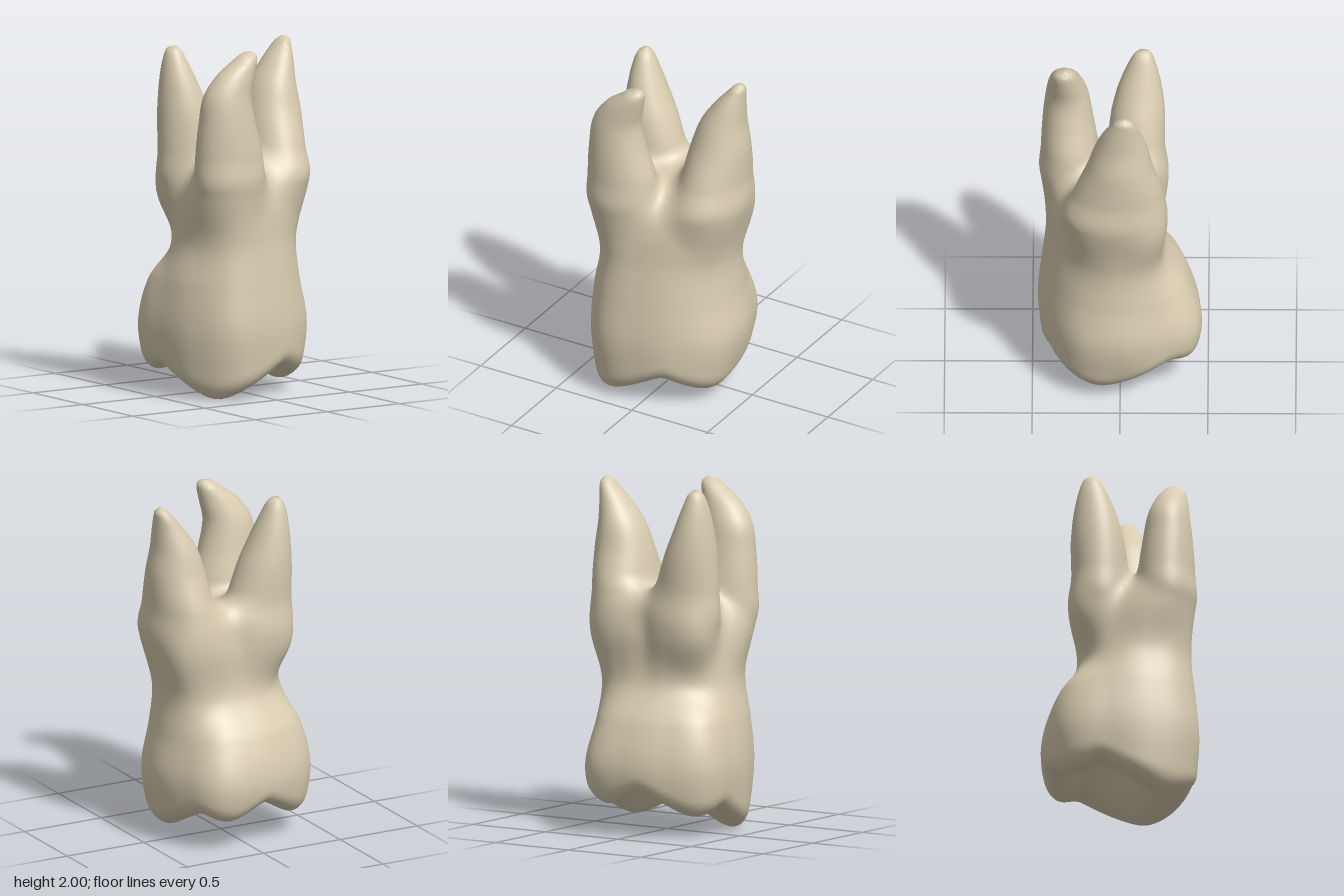
import * as THREE from 'three';

// Crown and trunk: height, then radii every 30 degrees from +x towards +z
const BODY = [
  [0.0, .33, .37, .40, .42, .46, .43, .40, .43, .38, .36, .41, .36],
  [0.15, .39, .42, .425, .435, .49, .46, .435, .475, .425, .405, .455, .41],
  [0.4, .44, .452, .437, .45, .515, .48, .465, .51, .46, .455, .50, .442],
  [0.65, .405, .41, .41, .43, .49, .46, .435, .45, .395, .385, .415, .40],
  [0.87, .39, .39, .385, .405, .465, .42, .37, .31, .267, .25, .29, .372],
  [1.15, .43, .43, .37, .38, .475, .44, .34, .395, .30, .24, .295, .435],
  [1.36, .38, .34, .27, .28, .37, .33, .24, .31, .25, .22, .25, .37],
];

// Roots: height, centre x, centre z, radius x, radius z
const ROOTS = {
  frontRoot: [
    [0.85, -.16, .2, .07, .07], [1.2, -.185, .285, .205, .168], [1.4, -.19, .29, .205, .163],
    [1.6, -.21, .3, .17, .142], [1.75, -.21, .305, .145, .12], [1.87, -.158, .315, .115, .093],
    [1.95, -.098, .32, .07, .066], [1.98, -.08, .32, .047, .043], [1.997, -.072, .32, .01, .01],
  ],
  backRoot: [
    [0.85, -.14, -.03, .07, .07], [1.2, -.19, -.09, .195, .17], [1.4, -.2, -.09, .19, .163],
    [1.6, -.23, -.1, .155, .153], [1.75, -.257, -.11, .115, .126], [1.87, -.275, -.12, .08, .09],
    [1.95, -.283, -.127, .051, .057], [1.978, -.285, -.13, .031, .036], [1.992, -.285, -.13, .008, .008],
  ],
  sideRoot: [
    [0.85, .14, .01, .1, .1], [1.2, .24, .04, .216, .285], [1.4, .272, .012, .187, .255],
    [1.6, .295, .002, .165, .188], [1.75, .312, -.005, .128, .147], [1.87, .352, -.01, .085, .103],
    [1.95, .386, -.02, .05, .068], [1.985, .4, -.02, .032, .044], [2.002, .402, -.02, .008, .008],
  ],
};

// Chewing surface: cusp x, height, z
const CUSPS = [[-.265, 0, .28], [.265, .05, .1], [-.33, .12, -.2], [.15, .175, -.36]];

// Smooth interpolation of one column between table rows
function sample(rows, y, col) {
  const n = rows.length;
  if (y <= rows[0][0]) return rows[0][col];
  if (y >= rows[n - 1][0]) return rows[n - 1][col];
  let i = 0;
  while (y > rows[i + 1][0]) i++;
  const slope = (k) => {
    const a = rows[Math.max(k - 1, 0)], b = rows[Math.min(k + 1, n - 1)];
    return (b[col] - a[col]) / (b[0] - a[0]);
  };
  const h = rows[i + 1][0] - rows[i][0], t = (y - rows[i][0]) / h, t2 = t * t, t3 = t2 * t;
  return (2 * t3 - 3 * t2 + 1) * rows[i][col] + (t3 - 2 * t2 + t) * h * slope(i)
    + (3 * t2 - 2 * t3) * rows[i + 1][col] + (t3 - t2) * h * slope(i + 1);
}

const smoothMin = (a, b, k) => {
  const h = Math.max(k - Math.abs(a - b), 0) / k;
  return Math.min(a, b) - h * h * k / 4;
};
const smoothMax = (a, b, k) => -smoothMin(-a, -b, k);

function chewingHeight(x, z) {
  let h = 0.4;
  for (const [cx, cy, cz] of CUSPS) {
    h = smoothMin(h, cy + 0.58 * (Math.hypot(x - cx, z - cz, 0.08) - 0.08), 0.04);
  }
  // central hollow
  return h + 0.18 * Math.exp(-((x + .02) ** 2 + (z + .04) ** 2) / 0.035);
}

function bodyField(x, y, z) {
  const turn = ((Math.atan2(z, x) / (2 * Math.PI) + 1) % 1) * 12;
  const i = Math.floor(turn), t = turn - i;
  const [a, b, c, d] = [11, 0, 1, 2].map((o) => sample(BODY, y, 1 + (i + o) % 12));
  const r = b + 0.5 * t * (c - a + t * (2 * a - 5 * b + 4 * c - d + t * (3 * (b - c) + d - a)));
  const side = Math.hypot(x, z) - r;
  const top = y - 1.38 + 0.15 * z;
  return smoothMax(smoothMax(side, chewingHeight(x, z) - y, 0.08), top, 0.16);
}

function rootField(rows, x, y, z) {
  const [cx, cz, rx, rz] = [1, 2, 3, 4].map((c) => sample(rows, y, c));
  const f = (Math.hypot((x - cx) / rx, (z - cz) / rz) - 1) * Math.min(rx, rz);
  return Math.max(f, rows[0][0] - y, y - rows[rows.length - 1][0]);
}

function toothField(x, y, z) {
  let f = bodyField(x, y, z);
  if (y > 0.75) for (const rows of Object.values(ROOTS)) f = smoothMin(f, rootField(rows, x, y, z), 0.075);
  return f;
}

function gradient(x, y, z, e = 0.008) {
  return new THREE.Vector3(
    toothField(x + e, y, z) - toothField(x - e, y, z),
    toothField(x, y + e, z) - toothField(x, y - e, z),
    toothField(x, y, z + e) - toothField(x, y, z - e),
  ).divideScalar(2 * e);
}

// Skin the blended field: one vertex per crossed cell, one quad per crossed grid edge
function skin() {
  const step = 0.025, size = [44, 86, 44], origin = [-.5375, -.055, -.5375];
  const id = (i, j, k) => (i * size[1] + j) * size[2] + k;
  const at = (p) => p.map((v, a) => origin[a] + v * step);
  const values = new Float32Array(size[0] * size[1] * size[2]).fill(1);
  const each = (start, fn) => {
    for (let i = start; i < size[0] - 1; i++)
      for (let j = start; j < size[1] - 1; j++)
        for (let k = start; k < size[2] - 1; k++) fn([i, j, k]);
  };
  each(0, (p) => { values[id(...p)] = toothField(...at(p)); });

  const cellVertex = new Map(), positions = [], normals = [], quads = [];
  each(0, (p) => {
    const v = new THREE.Vector3();
    let count = 0;
    for (let a = 0; a < 3; a++) {
      for (let m = 0; m < 4; m++) {
        const s = p.slice();
        s[(a + 1) % 3] += m & 1;
        s[(a + 2) % 3] += m >> 1;
        const e = s.slice();
        e[a]++;
        const f0 = values[id(...s)], f1 = values[id(...e)];
        if ((f0 < 0) === (f1 < 0)) continue;
        s[a] += f0 / (f0 - f1);
        v.add(new THREE.Vector3(...at(s)));
        count++;
      }
    }
    if (!count) return;
    v.divideScalar(count);
    const g = gradient(v.x, v.y, v.z);
    const move = toothField(v.x, v.y, v.z) / Math.max(g.lengthSq(), 0.3);
    v.addScaledVector(g, -THREE.MathUtils.clamp(move, -.008, .008));
    cellVertex.set(id(...p), positions.length / 3);
    positions.push(v.x, v.y, v.z);
    normals.push(...gradient(v.x, v.y, v.z, 0.014).normalize().toArray());
  });
  each(1, (p) => {
    for (let a = 0; a < 3; a++) {
      const e = p.slice();
      e[a]++;
      const inside = values[id(...p)] < 0;
      if (inside === values[id(...e)] < 0) continue;
      const quad = [[-1, -1], [0, -1], [0, 0], [-1, 0]].map(([b, c]) => {
        const q = p.slice();
        q[(a + 1) % 3] += b;
        q[(a + 2) % 3] += c;
        return cellVertex.get(id(...q));
      });
      quads.push(inside ? quad : quad.reverse());
    }
  });
  return { positions, normals, quads };
}

export function createModel() {
  const group = new THREE.Group();
  group.name = 'tooth';
  const enamel = new THREE.MeshStandardMaterial({ color: 0xd8ccb0 });
  enamel.name = 'ivory';

  const { positions, normals, quads } = skin();
  const position = new THREE.Float32BufferAttribute(positions, 3);
  const normal = new THREE.Float32BufferAttribute(normals, 3);

  // Share the skin between the crown and the root each face belongs to
  const parts = { crown: [], frontRoot: [], backRoot: [], sideRoot: [] };
  for (const [a, b, c, d] of quads) {
    const p = positions.slice(a * 3, a * 3 + 3);
    const name = p[1] < 0.87 ? 'crown' : Object.keys(ROOTS).reduce((m, n) =>
      (rootField(ROOTS[n], ...p) < rootField(ROOTS[m], ...p) ? n : m));
    parts[name].push(a, b, c, a, c, d);
  }
  for (const [name, index] of Object.entries(parts)) {
    const geometry = new THREE.BufferGeometry();
    geometry.setAttribute('position', position);
    geometry.setAttribute('normal', normal);
    geometry.setIndex(index);
    const mesh = new THREE.Mesh(geometry, enamel);
    mesh.name = name;
    group.add(mesh);
  }
  return group;
}
